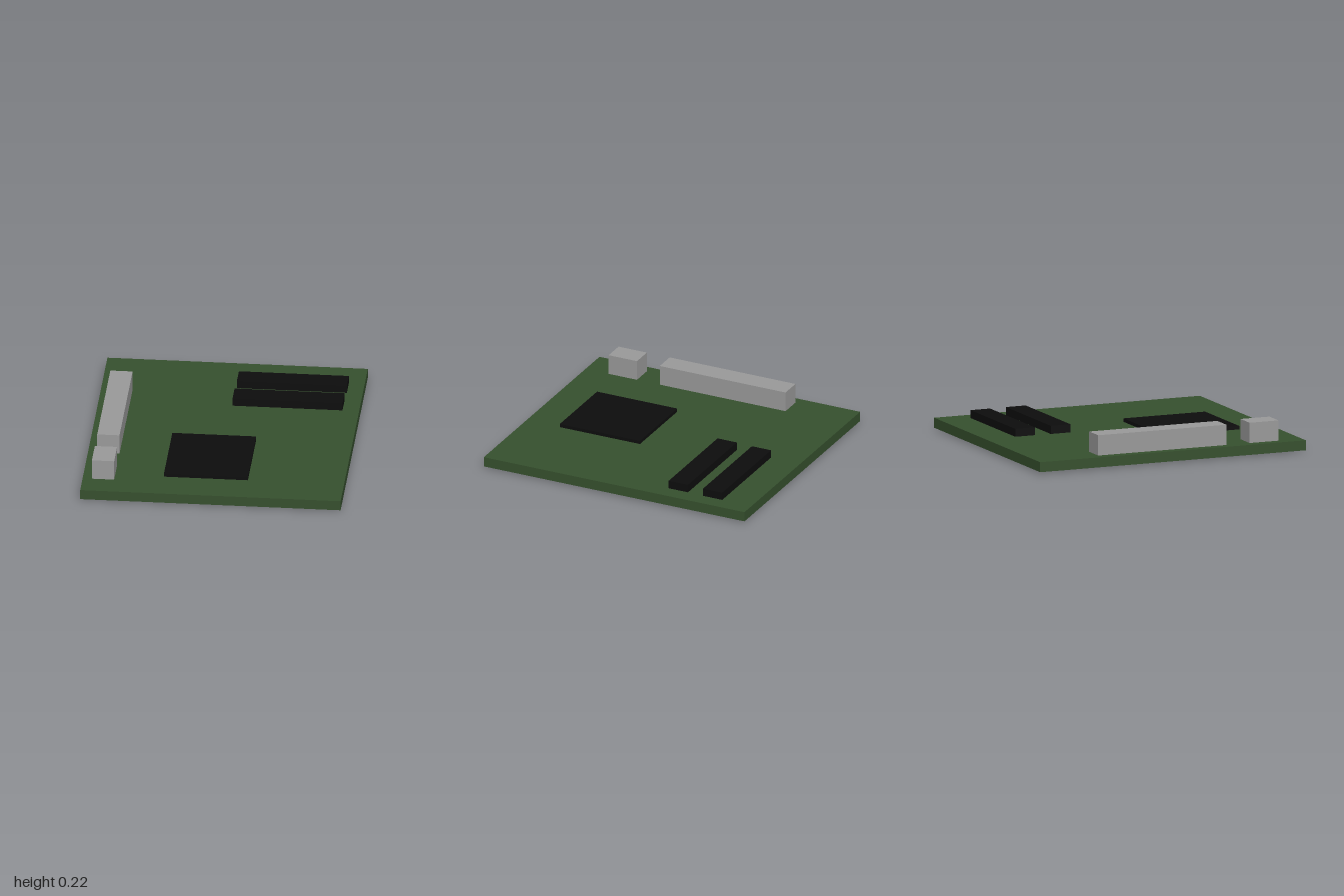
import * as THREE from 'three';

const material = (name, color) => {
  const m = new THREE.MeshStandardMaterial({ color });
  m.name = name;
  return m;
};

export function createModel() {
  const group = new THREE.Group();
  group.name = 'circuitBoard';

  const green = material('boardGreen', 0x36502e);
  const black = material('chipBlack', 0x0d0d0d);
  const grey = material('connectorGrey', 0x9a9a9a);

  // Box given by its extents along each axis
  const block = (name, mat, [x0, x1], [y0, y1], [z0, z1]) => {
    const mesh = new THREE.Mesh(new THREE.BoxGeometry(x1 - x0, y1 - y0, z1 - z0), mat);
    mesh.position.set((x0 + x1) / 2, (y0 + y1) / 2, (z0 + z1) / 2);
    mesh.name = name;
    group.add(mesh);
  };

  const top = 0.08;
  block('board', green, [-0.9, 0.9], [0.01, top], [-1, 1]);

  // Processor passes through the board and shows underneath
  block('processor', black, [-0.345, 0.235], [0, 0.104], [0.13, 0.745]);

  // Memory slots
  block('rearMemorySlot', black, [0.03, 0.79], [top, 0.135], [-0.775, -0.628]);
  block('frontMemorySlot', black, [0.025, 0.785], [top, 0.137], [-0.51, -0.362]);

  // Connectors along the right edge
  block('longConnector', grey, [-0.836, -0.682], [top, 0.222], [-0.535, 0.43]);
  block('shortConnector', grey, [-0.836, -0.682], [top, 0.222], [0.605, 0.822]);

  return group;
}
